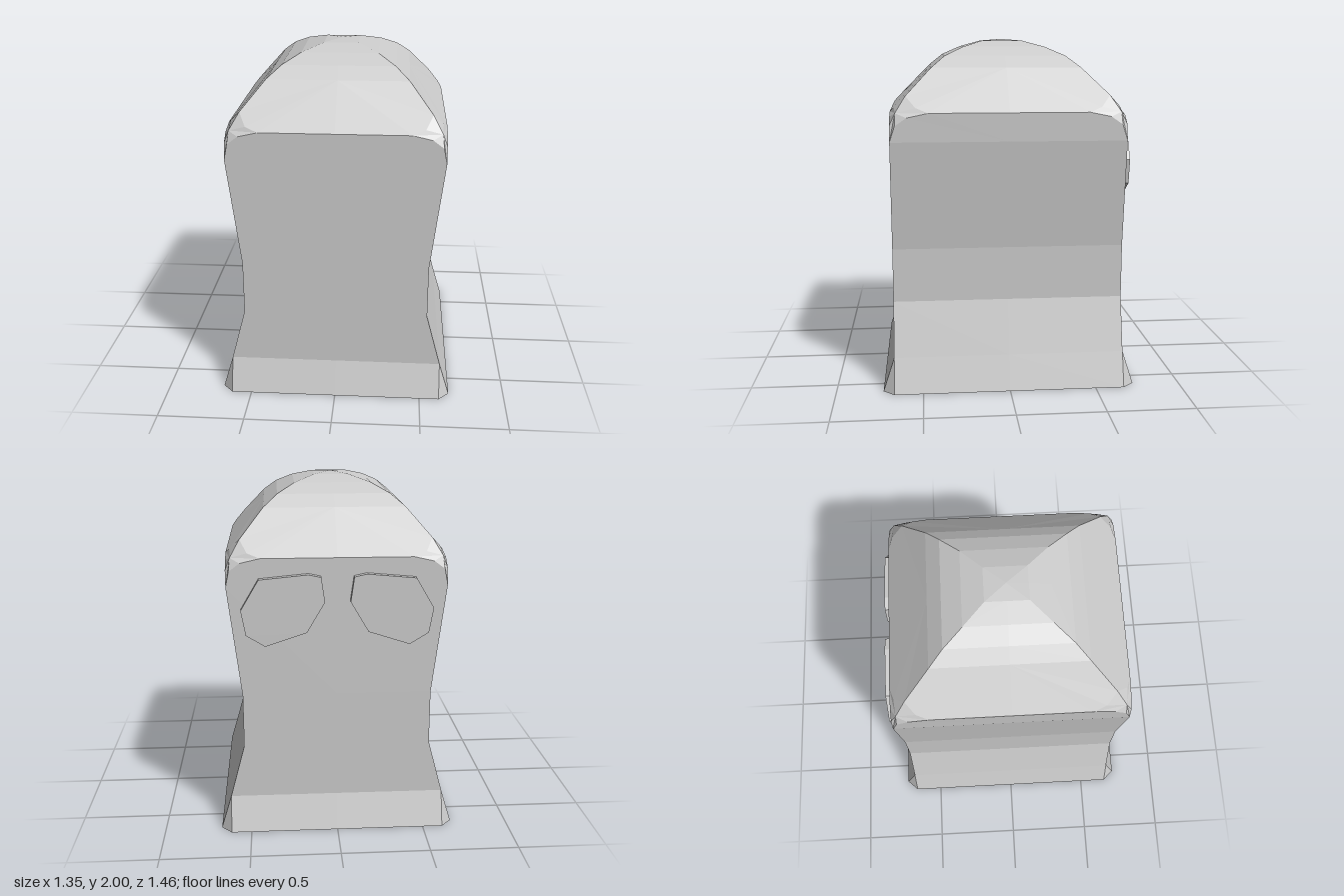
import * as THREE from 'three';

const grey = new THREE.MeshStandardMaterial({ color: 0xcccccc });
grey.name = 'light grey';

// Builds a flat-faced mesh from convex polygons of one quarter, mirrored over x and z
function quarterMesh(name, polygons) {
  const positions = [];
  const inside = new THREE.Vector3(0, 0.9, 0);
  for (const sx of [1, -1]) for (const sz of [1, -1]) {
    for (const polygon of polygons) {
      const p = polygon.map(([x, y, z]) => new THREE.Vector3(x * sx, y, z * sz));
      for (let i = 1; i < p.length - 1; i++) {
        const t = new THREE.Triangle(p[0], p[i], p[i + 1]);
        if (t.getArea() < 1e-7) continue;
        const outward = t.getMidpoint(new THREE.Vector3()).sub(inside);
        const flip = t.getNormal(new THREE.Vector3()).dot(outward) < 0;
        for (const v of flip ? [t.a, t.c, t.b] : [t.a, t.b, t.c]) positions.push(v.x, v.y, v.z);
      }
    }
  }
  const geometry = new THREE.BufferGeometry();
  geometry.setAttribute('position', new THREE.Float32BufferAttribute(positions, 3));
  geometry.computeVertexNormals();
  const mesh = new THREE.Mesh(geometry, grey);
  mesh.name = name;
  return mesh;
}

const D = 0.665; // half depth of the body

// Outlines of the softened upper corner, shared by the walls, roof and corner patch
const ridgeEnd = [0.53, 1.69, 0.575];
const frontEnd = [0.42, 1.6, D];
const sideEnd = [0.612, 1.6, 0.45];
const cornerFoot = [0.608, 1.44, D];
const frontArc = [[0.53, 1.575, D], [0.59, 1.53, D]];
const sideArc = [[0.61, 1.53, 0.635], [0.611, 1.575, 0.57]];
const roofFrontMid = [0.49, 1.625, 0.64];
const roofSideMid = [0.588, 1.628, 0.52];

function walls() {
  const polygons = [];
  const profile = [[0.615, 0.2], [0.532, 0.51], [0.532, 0.82], [0.608, 1.44]];
  for (let i = 0; i < profile.length - 1; i++) {
    const [x0, y0] = profile[i], [x1, y1] = profile[i + 1];
    polygons.push([[0, y0, D], [x0, y0, D], [x1, y1, D], [0, y1, D]]);
    polygons.push([[x0, y0, 0], [x0, y0, D], [x1, y1, D], [x1, y1, 0]]);
  }
  polygons.push([[0, 1.44, D], cornerFoot, frontArc[1], frontArc[0], frontEnd, [0, 1.6, D]]);
  polygons.push([[0.608, 1.44, 0], cornerFoot, ...sideArc, sideEnd, [0.612, 1.6, 0]]);
  return quarterMesh('bodyWalls', polygons);
}

// Flared foot with chamfered corners and a closed underside
function skirt() {
  const top = [0.615, 0.2, D], front = [0.615, 0, 0.73], side = [0.675, 0, D];
  return quarterMesh('flaredBase', [
    [[0, 0.2, D], top, front, [0, 0, 0.73]],
    [[0.615, 0.2, 0], top, side, [0.675, 0, 0]],
    [top, front, side],
    [[0, 0, 0], [0, 0, 0.73], front, side, [0.675, 0, 0]],
  ]);
}

// Four-sided vaulted roof rising in bands to a point
function roof() {
  const rings = [[0, 2, 0], [0.1, 1.99, 0.12], [0.22, 1.955, 0.24], [0.32, 1.905, 0.35], [0.4, 1.84, 0.43]];
  const polygons = [];
  for (let i = 0; i < rings.length - 1; i++) {
    const a = rings[i], b = rings[i + 1];
    polygons.push([[0, a[1], a[2]], a, b, [0, b[1], b[2]]]);
    polygons.push([[a[0], a[1], 0], a, b, [b[0], b[1], 0]]);
  }
  const low = rings[rings.length - 1];
  polygons.push([[0, low[1], low[2]], low, ridgeEnd, roofFrontMid, frontEnd, [0, 1.6, D]]);
  polygons.push([[low[0], low[1], 0], low, ridgeEnd, roofSideMid, sideEnd, [0.612, 1.6, 0]]);
  return quarterMesh('vaultedRoof', polygons);
}

// Rounded patches closing the four upper corners
function corners() {
  const centre = [0.583, 1.6, 0.632];
  const loop = [ridgeEnd, roofFrontMid, frontEnd, ...frontArc, cornerFoot, ...sideArc, sideEnd, roofSideMid];
  return quarterMesh('roundedCorners', loop.map((p, i) => [centre, p, loop[(i + 1) % loop.length]]));
}

// Slanted eight-sided eye standing proud of the back wall
function eye(name, s) {
  const outline = [[0.07, 1.36], [0.09, 1.5], [0.16, 1.515], [0.43, 1.49],
    [0.53, 1.32], [0.505, 1.18], [0.4, 1.115], [0.17, 1.19]];
  const shape = new THREE.Shape(outline.map(([x, y]) => new THREE.Vector2(x * s, y)));
  const mesh = new THREE.Mesh(new THREE.ExtrudeGeometry(shape, { depth: 0.04, bevelEnabled: false }), grey);
  mesh.position.z = -0.7;
  mesh.name = name;
  return mesh;
}

export function createModel() {
  const model = new THREE.Group();
  model.name = 'squatFigure';
  model.add(walls(), skirt(), roof(), corners(), eye('leftEye', 1), eye('rightEye', -1));
  return model;
}
